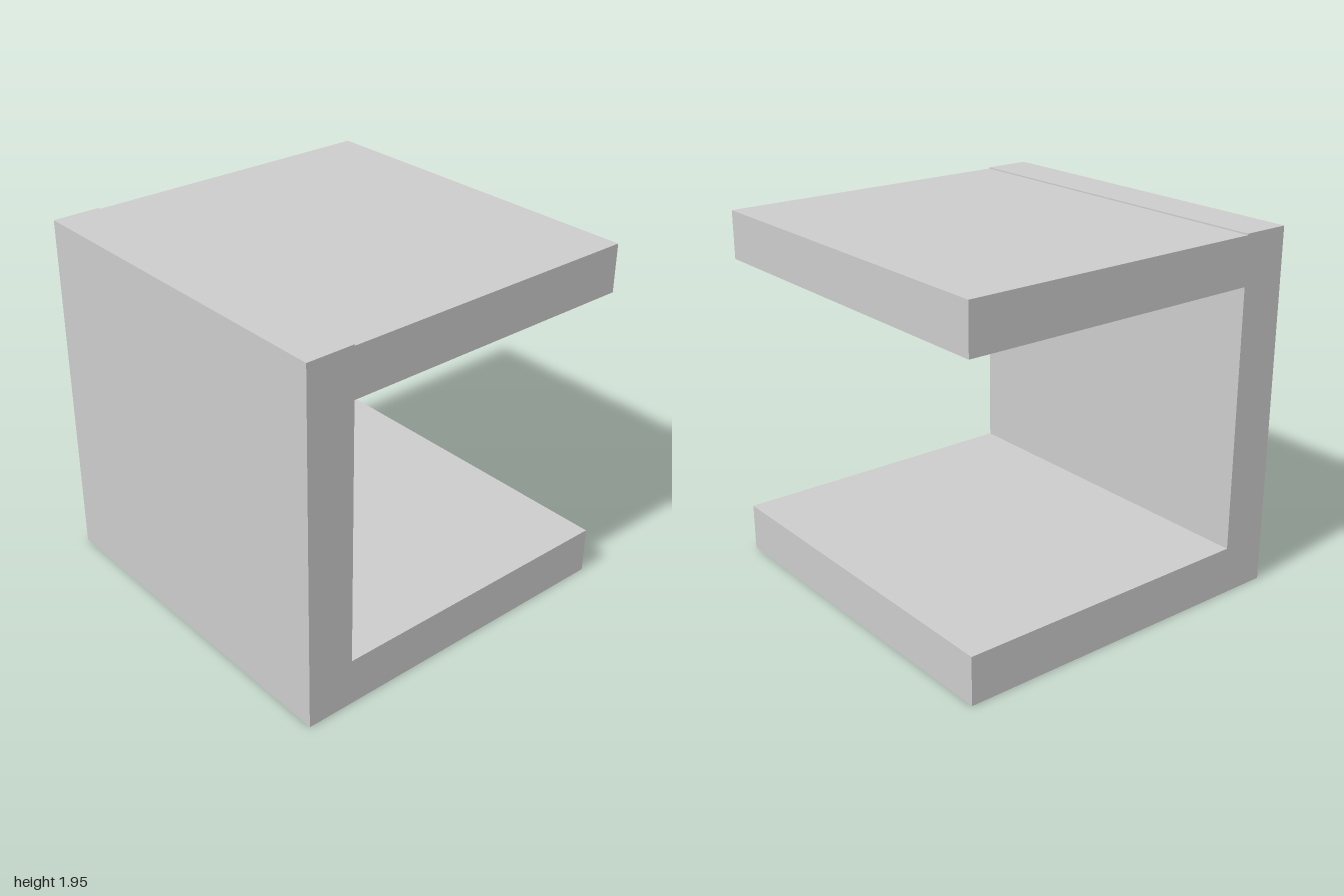
import * as THREE from 'three';

export function createModel() {
  const group = new THREE.Group();
  const material = new THREE.MeshStandardMaterial({ color: 0xcccccc, flatShading: true });

  const width = 2, half = 0.97, inner = 0.71;
  const height = 1.945, topPlate = 1.938, ceiling = 1.68, floor = 0.26;

  // C-shaped side profile as (z, y): front wall, base plate and a top plate set slightly lower
  const profile = new THREE.Shape([
    [-half, 0], [half, 0], [half, height], [inner, height], [inner, topPlate],
    [-half, topPlate], [-half, ceiling], [inner, ceiling], [inner, floor], [-half, floor],
  ].map(([z, y]) => new THREE.Vector2(z, y)));

  // Extrude across the width, then turn the profile into the z-y plane
  const geometry = new THREE.ExtrudeGeometry(profile, { depth: width, bevelEnabled: false });
  geometry.translate(0, 0, -width / 2).rotateY(-Math.PI / 2);

  const channel = new THREE.Mesh(geometry, material);
  channel.name = 'channelBody';
  group.add(channel);
  return group;
}
